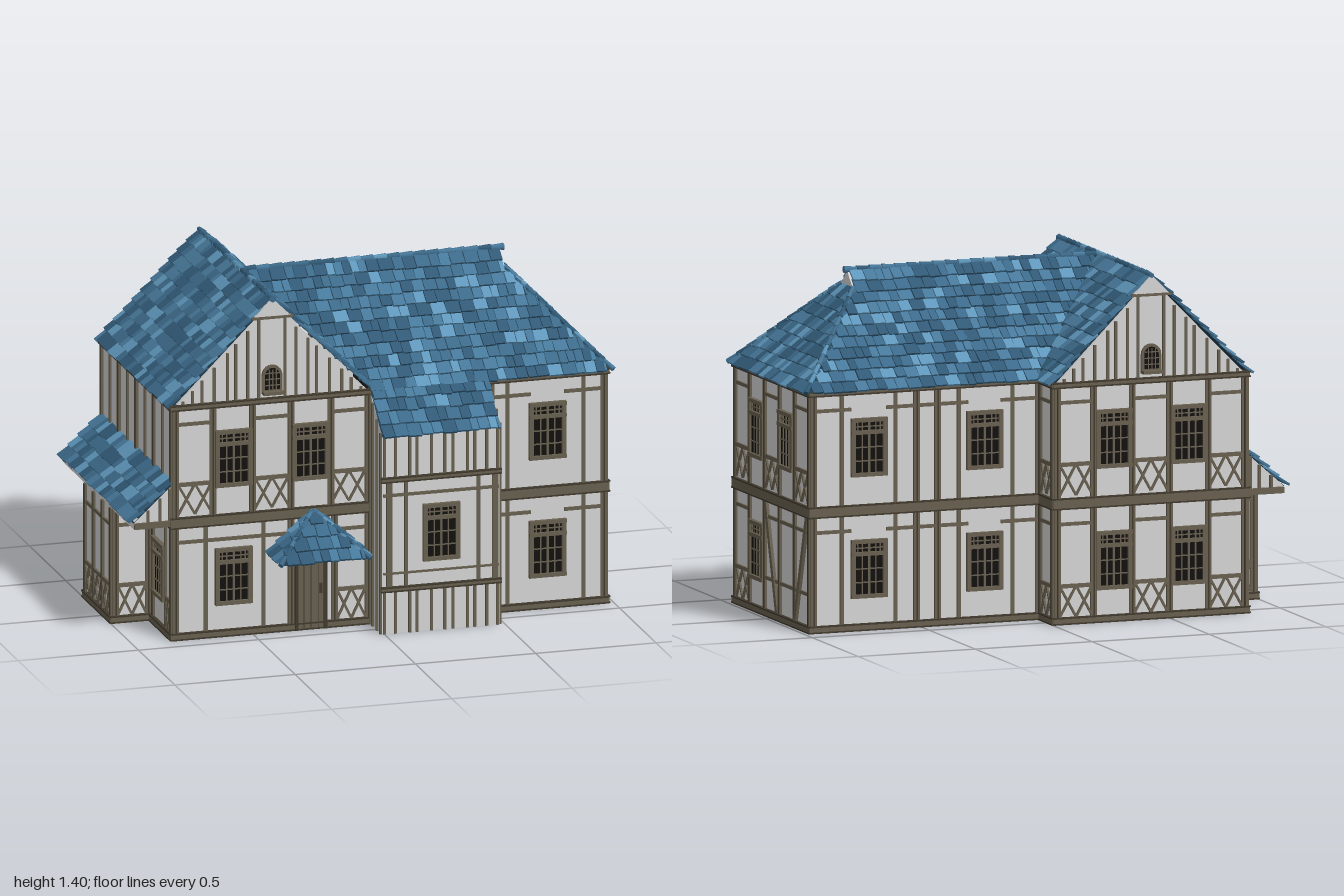
import * as THREE from 'three';
import { mergeGeometries } from 'three/addons/utils/BufferGeometryUtils.js';

const mat = (name, color, side = THREE.FrontSide) => new THREE.MeshStandardMaterial({ name, color, side });
const V = (x, y, z) => new THREE.Vector3(x, y, z);

export function createModel() {
  const root = new THREE.Group();
  root.name = 'timberHouse';
  const M = {
    wall: mat('plaster', 0xd6d6d6, THREE.DoubleSide),
    wood: mat('timber', 0x686050),
    dark: mat('darkTimber', 0x40392d),
    glass: mat('darkGlass', 0x12110f),
    under: mat('roofUnderlay', 0x1f3a4c, THREE.DoubleSide),
    tile0: mat('slateBlue', 0x3c6a8a),
    tile1: mat('deepBlue', 0x315a77),
    tile2: mat('midBlue', 0x47799b),
    tile3: mat('lightBlue', 0x5f97bb),
  };
  let seed = 7;
  const rnd = () => (seed = (seed * 16807) % 2147483647) / 2147483647;
  const tileMat = () => ['tile0', 'tile0', 'tile1', 'tile1', 'tile2', 'tile2', 'tile3'][Math.floor(rnd() * 7)];

  // A part collects geometry per material; local x runs along the wall, local z points outwards
  function part(name, x = 0, z = 0, rot = 0) {
    const group = new THREE.Group(), lists = {};
    group.name = name;
    group.position.set(x, 0, z);
    group.rotation.y = rot;
    root.add(group);
    const p = {
      add(m, g) { (lists[m] ||= []).push(g.index ? g.toNonIndexed() : g); },
      box(m, u0, u1, y0, y1, z0, z1) {
        p.add(m, new THREE.BoxGeometry(u1 - u0, y1 - y0, z1 - z0).translate((u0 + u1) / 2, (y0 + y1) / 2, (z0 + z1) / 2));
      },
      bar(u0, y0, u1, y1, w = 0.02, d = 0.008, m = 'wood') {
        const g = new THREE.BoxGeometry(Math.hypot(u1 - u0, y1 - y0), w, d + 0.008);
        p.add(m, g.rotateZ(Math.atan2(y1 - y0, u1 - u0)).translate((u0 + u1) / 2, (y0 + y1) / 2, (d - 0.008) / 2));
      },
      poly(m, pts, depth = 0.02, z0 = -0.02) {
        const s = new THREE.Shape(pts.map(q => new THREE.Vector2(...q)));
        p.add(m, new THREE.ExtrudeGeometry(s, { depth, bevelEnabled: false }).translate(0, 0, z0));
      },
      done() {
        for (const k in lists) {
          const mesh = new THREE.Mesh(mergeGeometries(lists[k]), M[k]);
          mesh.name = name + '_' + M[k].name;
          group.add(mesh);
        }
      },
    };
    return p;
  }

  // Window with frame, transom strip and glazing bars, visible from both sides
  function windowAt(p, c, y) {
    const w = 0.068, h = 0.22;
    p.box('glass', c - w, c + w, y, y + h, -0.026, 0.006);
    for (const s of [-1, 1]) p.bar(c + s * w, y, c + s * w, y + h, 0.018, 0.016);
    for (const k of [0, 0.775, 1]) p.bar(c - w - 0.009, y + h * k, c + w + 0.009, y + h * k, 0.016, 0.018);
    for (const k of [0.25, 0.5]) p.bar(c - w, y + h * k, c + w, y + h * k, 0.005, 0.01);
    for (const k of [-0.33, 0, 0.33]) p.bar(c + k * w * 1.3, y, c + k * w * 1.3, y + h, k ? 0.005 : 0.009, 0.01);
    for (const k of [-0.7, 0.7]) p.bar(c + k * w, y + h * 0.78, c + k * w, y + h, 0.005, 0.01);
    p.bar(c - w, y + h * 0.88, c + w, y + h * 0.88, 0.005, 0.01);
  }
  // Crossed braces under a rail
  function lattice(p, a, b, y) {
    const m = (a + b) / 2, y0 = y + 0.03, y1 = y + 0.155;
    p.bar(a, y1, b, y1, 0.016, 0.009);
    for (const [l, r] of [[a, m], [m, b]]) {
      p.bar(l, y0, r, y1, 0.009);
      p.bar(l, y1, r, y0, 0.009);
    }
  }
  // Studs, lattices, windows and short rails of one storey
  function storey(p, y, { posts = [], thin = [], lat = [], win = [], rails = [] }) {
    for (const u of posts) {
      p.bar(u, y + 0.02, u, y + 0.475, 0.026, 0.009);
      p.bar(u, y + 0.02, u, y + 0.475, 0.006, 0.011, 'dark');
    }
    for (const u of thin) p.bar(u, y + 0.02, u, y + 0.475, 0.015);
    for (const [a, b] of lat) lattice(p, a, b, y);
    for (const c of win) windowAt(p, c, y + 0.14);
    for (const [a, b] of rails) p.bar(a, y + 0.405, b, y + 0.405, 0.014);
  }
  // Long horizontal beams with dark edges
  function beams(p, a, b, ys) {
    for (const [y, h] of ys) {
      p.bar(a - 0.01, y, b + 0.01, y, h, 0.012);
      for (const s of [-1, 1]) p.bar(a - 0.01, y + s * h / 2, b + 0.01, y + s * h / 2, 0.006, 0.015, 'dark');
    }
  }
  const LEVELS = [[0.015, 0.024], [0.487, 0.04], [0.965, 0.018]];

  // Gable above the eaves, with studs, arched vent and sill
  function gable(p, c) {
    p.poly('wall', [[c - 0.41, 0.96], [c + 0.41, 0.96], [c, 1.375]]);
    for (const du of [0.055, 0.1, 0.15, 0.185, 0.24, 0.29, 0.33, 0.37])
      for (const s of [-1, 1]) p.bar(c + s * du, 0.97, c + s * du, Math.min(1.31, 1.36 - du), 0.011);
    p.bar(c - 0.085, 1.31, c + 0.085, 1.31, 0.012, 0.012);
    p.poly('wall', [[c - 0.075, 1.315], [c + 0.075, 1.315], [c, 1.39]], 0.012, 0);
    const arch = (r, y0, y1) => {
      const pts = [[c - r, y0], [c + r, y0]];
      for (let i = 0; i <= 10; i++) pts.push([c + r * Math.cos(i * Math.PI / 10), y1 + r * Math.sin(i * Math.PI / 10)]);
      return pts;
    };
    p.poly('wood', arch(0.042, 1.0, 1.07), 0.03);
    p.poly('glass', arch(0.03, 1.012, 1.07), 0.034);
    for (const k of [-0.015, 0, 0.015]) p.bar(c + k, 1.01, c + k, 1.095, 0.004, 0.018);
    for (const k of [1.03, 1.055, 1.08]) p.bar(c - 0.03, k, c + 0.03, k, 0.004, 0.018);
    p.box('wood', c - 0.042, c + 0.042, 0.993, 1.006, 0, 0.035);
  }

  const Q = Math.PI / 2;
  const wingUpper = {
    posts: [-0.4, -0.245, -0.08, 0.08, 0.245, 0.4], lat: [[-0.39, -0.25], [-0.07, 0.07], [0.25, 0.39]],
    win: [-0.16, 0.16], rails: [[-0.4, -0.245], [-0.08, 0.08], [0.245, 0.4]],
  };

  // Gable wing, front
  let p = part('gableWingFront', -0.42, 0.412);
  p.box('wall', -0.41, 0.41, 0, 0.97, -0.02, 0);
  beams(p, -0.41, 0.41, LEVELS);
  storey(p, 0.49, wingUpper);
  storey(p, 0, {
    posts: [-0.4, 0.08, 0.26, 0.4], thin: [-0.275, -0.035], lat: [[0.27, 0.39]], win: [-0.16],
    rails: [[-0.4, 0.08], [0.26, 0.4]],
  });
  gable(p, 0);
  p.done();
  // Front door
  p = part('frontDoor', -0.26, 0.412);
  p.box('wood', -0.06, 0.06, 0, 0.33, -0.03, 0.012);
  for (const u of [-0.06, 0.06]) p.bar(u, 0, u, 0.33, 0.014, 0.018, 'dark');
  for (const u of [-0.03, 0, 0.03]) p.bar(u, 0, u, 0.33, 0.003, 0.014, 'dark');
  p.box('dark', 0.035, 0.045, 0.15, 0.19, 0.01, 0.022);
  p.done();
  // Gable wing, back
  p = part('gableWingBack', -0.42, -0.567, Math.PI);
  p.box('wall', -0.41, 0.41, 0, 0.97, -0.02, 0);
  beams(p, -0.41, 0.41, LEVELS);
  for (const y of [0, 0.49]) storey(p, y, wingUpper);
  gable(p, 0);
  p.done();
  // Short exposed side of the gable wing
  p = part('gableWingReturn', -0.01, -0.49, Q);
  p.box('wall', -0.08, 0.077, 0, 0.97, -0.02, 0);
  beams(p, -0.08, 0.077, LEVELS);
  for (const y of [0, 0.49]) storey(p, y, { posts: [-0.068, 0.065], lat: [[-0.06, 0.06]], rails: [[-0.06, 0.06]] });
  p.done();
  // Gable wing, left wall
  p = part('gableWingLeft', -0.83, -0.078, -Q);
  p.box('wall', -0.489, 0.49, 0, 0.97, -0.02, 0);
  beams(p, -0.489, 0.49, LEVELS);
  storey(p, 0, { posts: [-0.48, -0.23, 0.23, 0.48], lat: [[-0.47, -0.41], [0.41, 0.47]], thin: [-0.4, 0.4], win: [-0.32, 0.32] });
  storey(p, 0.49, { posts: [-0.48, -0.24, 0, 0.24, 0.48], thin: [-0.36, -0.12, 0.12, 0.36] });
  p.done();

  // Right wing, front, side and back
  p = part('rightWingFront', 0.725, 0.412);
  p.box('wall', -0.25, 0.245, 0, 0.97, -0.02, 0);
  beams(p, -0.245, 0.245, LEVELS);
  for (const y of [0, 0.49]) storey(p, y, { posts: [-0.235, 0.235], thin: [-0.165, 0.15], win: [0], rails: [[-0.235, -0.07], [0.07, 0.235]] });
  p.done();
  p = part('rightWingSide', 0.97, 0, Q);
  p.box('wall', -0.412, 0.412, 0, 0.97, -0.02, 0);
  beams(p, -0.412, 0.412, LEVELS);
  storey(p, 0.49, wingUpper);
  storey(p, 0, {
    posts: [-0.4, -0.245, -0.08, 0.08, 0.245, 0.4], lat: [[-0.39, -0.25]], win: [-0.16],
    rails: [[-0.4, -0.245], [-0.08, 0.4]],
  });
  p.bar(-0.07, 0.155, 0.4, 0.155, 0.014);
  p.bar(-0.065, 0.465, 0.06, 0.03, 0.024, 0.012);
  p.bar(0.385, 0.465, 0.255, 0.03, 0.024, 0.012);
  p.done();
  p = part('rightWingBack', 0.48, -0.41, Math.PI);
  p.box('wall', -0.49, 0.49, 0, 0.97, -0.02, 0);
  beams(p, -0.49, 0.49, LEVELS);
  for (const y of [0, 0.49]) storey(p, y, {
    posts: [-0.48, -0.04, 0.05, 0.48], thin: [-0.36, -0.13, 0.14, 0.37], win: [-0.245, 0.25],
    rails: [[-0.48, -0.32], [-0.17, 0.18], [0.32, 0.48]],
  });
  p.done();

  // Front bay with boarded base and top
  p = part('bayFront', 0.235, 0.572);
  p.box('wall', -0.245, 0.245, 0, 0.84, -0.02, 0);
  beams(p, -0.24, 0.24, [[0.64, 0.016], [0.185, 0.016]]);
  for (const u of [-0.215, -0.145, 0.155, 0.225]) p.bar(u, 0.185, u, 0.64, Math.abs(u) > 0.2 ? 0.024 : 0.014);
  p.bar(-0.24, 0.575, 0.24, 0.575, 0.012);
  p.bar(-0.24, 0.25, 0.24, 0.25, 0.008);
  for (const u of [-0.235, -0.19, -0.13, -0.1, -0.04, 0.015, 0.05, 0.11, 0.14, 0.19, 0.235]) {
    p.bar(u, 0, u, 0.18, 0.011);
    p.bar(u, 0.645, u, 0.83, 0.011);
  }
  windowAt(p, 0, 0.3);
  p.done();
  for (const s of [-1, 1]) {
    p = part(s > 0 ? 'baySideRight' : 'baySideLeft', s > 0 ? 0.48 : -0.01, 0, s * Q);
    const pts = [[-s * 0.4, 0], [-s * 0.572, 0], [-s * 0.572, 0.83], [-s * 0.4, 0.97]];
    p.poly('wall', s > 0 ? pts.reverse() : pts);
    for (const z of [0.422, 0.455, 0.515, 0.566]) p.bar(-s * z, 0, -s * z, 1.31 - z * 0.84, 0.012);
    p.done();
  }

  // Lean-to: small lower room and the long loft under its roof
  for (const [name, z, r] of [['leanToFront', 0.11, 0], ['leanToBack', -0.26, Math.PI]]) {
    p = part(name, -0.91, z, r);
    p.box('wall', -0.08, 0.08, 0, 0.48, -0.02, 0);
    beams(p, -0.08, 0.08, [[0.015, 0.024]]);
    storey(p, 0, { posts: [-0.068, 0.068], lat: [[-0.06, 0.06]], rails: [[-0.06, 0.06]] });
    p.done();
  }
  p = part('leanToSide', -0.99, -0.075, -Q);
  p.box('wall', -0.185, 0.185, 0, 0.48, -0.02, 0);
  beams(p, -0.185, 0.185, [[0.015, 0.024]]);
  storey(p, 0, { posts: [-0.175, -0.06, 0.06, 0.175], lat: [[-0.17, -0.06], [-0.06, 0.06], [0.06, 0.17]], rails: [[-0.17, 0.17]] });
  p.done();
  p = part('leanToLoft');
  p.box('wall', -0.99, -0.82, 0.472, 0.495, -0.555, 0.405);
  for (const z of [0.39, -0.56]) p.poly('wall', [[-0.99, 0.49], [-0.82, 0.49], [-0.82, 0.655], [-0.99, 0.505]], 0.02, z);
  for (const z of [0.405, -0.575]) {
    p.box('wood', -0.99, -0.82, 0.475, 0.5, z, z + 0.015);
    for (const x of [-0.94, -0.89, -0.85]) p.box('wood', x, x + 0.011, 0.5, 1.405 + x * 0.91 + 0.0, z, z + 0.014);
  }
  p.done();

  // Upper floor slabs
  p = part('upperFloor');
  p.box('wall', -0.82, -0.02, 0.48, 0.495, -0.555, 0.4);
  p.box('wall', -0.02, 0.96, 0.48, 0.495, -0.4, 0.4);
  p.done();

  // Tiled slope from eave point to top point; range(t) gives its extent along the row, t = 0 at the eave
  function slope(q, eave, top, range) {
    const d = eave.clone().sub(top), len = d.length();
    d.normalize();
    const u = V(0, 1, 0).cross(d).normalize(), n = d.clone().cross(u);
    const rows = Math.max(2, Math.round(len / 0.056)), rh = len / rows;
    const at = (t, s) => eave.clone().lerp(top, t).addScaledVector(u, s);
    const verts = [];
    for (let i = 0; i < rows; i++) {
      const t0 = i / rows, t1 = (i + 1) / rows, [a, b] = range(t0), [c, e] = range(t1);
      for (const v of [at(t0, a), at(t0, b), at(t1, e), at(t0, a), at(t1, e), at(t1, c)]) verts.push(...v.toArray());
      const [lo, hi] = range((i + 0.4) / rows);
      for (let s = lo; s < hi - 0.004;) {
        const w = Math.min(0.03 + rnd() * 0.032, hi - s), l = rh * (1.2 + rnd() * 0.25);
        const pos = at((i + 0.5) / rows, s + w / 2).addScaledVector(n, 0.009 + rnd() * 0.004);
        const g = new THREE.BoxGeometry(Math.max(w - 0.003, 0.003), 0.009, l);
        g.rotateX(-0.16).rotateY((rnd() - 0.5) * 0.08);
        q.add(tileMat(), g.applyMatrix4(new THREE.Matrix4().makeBasis(u, n, d).setPosition(pos)));
        s += w;
      }
    }
    const g = new THREE.BufferGeometry();
    g.setAttribute('position', new THREE.Float32BufferAttribute(verts, 3));
    g.setAttribute('uv', new THREE.Float32BufferAttribute(new Float32Array(verts.length / 3 * 2), 2));
    g.computeVertexNormals();
    q.add('under', g);
  }
  // Overlapping cap tiles along a ridge or hip
  function caps(q, a, b, r = 0.013) {
    const d = b.clone().sub(a), k = Math.ceil(d.length() / 0.055);
    const rot = new THREE.Quaternion().setFromUnitVectors(V(0, 1, 0), d.clone().normalize());
    for (let i = 0; i < k; i++) {
      const g = new THREE.CylinderGeometry(r * 0.75, r * 1.15, d.length() / k * 1.15, 6);
      q.add(tileMat(), g.applyQuaternion(rot).translate(...a.clone().addScaledVector(d, (i + 0.5) / k).toArray()));
    }
  }

  // Gable wing roof, cut away where the right wing joins
  const E = 0.965, R = 1.38;
  p = part('gableWingRoof');
  slope(p, V(-0.84, E, 0), V(-0.42, R, 0), () => [-0.575, 0.42]);
  slope(p, V(0, E, 0), V(-0.42, R, 0), t => [-0.42, -0.42 * (1 - t)]);
  slope(p, V(0, E, 0), V(-0.42, R, 0), t => [0.42 * (1 - t), 0.575]);
  caps(p, V(-0.42, R + 0.008, 0.425), V(-0.42, R + 0.008, -0.58));
  p.done();

  // Right wing roof with hipped end and small gablet
  p = part('rightWingRoof');
  const x0 = t => -0.42 * t, x1 = t => 0.985 - 0.335 * Math.min(1, t / 0.84);
  slope(p, V(0, E, 0.42), V(0, R, 0), t => [x0(t), x1(t)]);
  slope(p, V(0, E, -0.42), V(0, R, 0), t => [-x1(t), -x0(t)]);
  slope(p, V(0.985, E, 0), V(0.65, 1.315, 0), t => [-0.42 + 0.35 * t, 0.42 - 0.35 * t]);
  caps(p, V(0.665, R + 0.008, 0), V(-0.42, R + 0.008, 0));
  for (const s of [-1, 1]) caps(p, V(0.995, E + 0.01, s * 0.425), V(0.655, 1.325, s * 0.068), 0.01);
  p.done();
  p = part('gablet', 0.655, 0, Q);
  p.poly('wall', [[-0.075, 1.31], [0.075, 1.31], [0, 1.385]]);
  p.done();

  // Bay, lean-to and porch roofs
  p = part('bayRoof');
  slope(p, V(0, 0.82, 0.588), V(0, 0.98, 0.41), () => [-0.012, 0.478]);
  p.done();
  p = part('leanToRoof');
  slope(p, V(-0.995, 0.5, 0), V(-0.825, 0.655, 0), () => [-0.565, 0.415]);
  p.done();
  p = part('porchRoof');
  slope(p, V(-0.25, 0.325, 0.59), V(-0.25, 0.49, 0.415), t => [-0.18 * (1 - t), 0.18 * (1 - t)]);
  slope(p, V(-0.43, 0.325, 0), V(-0.25, 0.49, 0), t => [0.41, 0.59 - 0.175 * t]);
  slope(p, V(-0.07, 0.325, 0), V(-0.25, 0.49, 0), t => [-0.59 + 0.175 * t, -0.41]);
  for (const s of [-1, 1]) caps(p, V(-0.25 + s * 0.185, 0.33, 0.592), V(-0.25, 0.498, 0.42), 0.01);
  p.done();
  return root;
}
